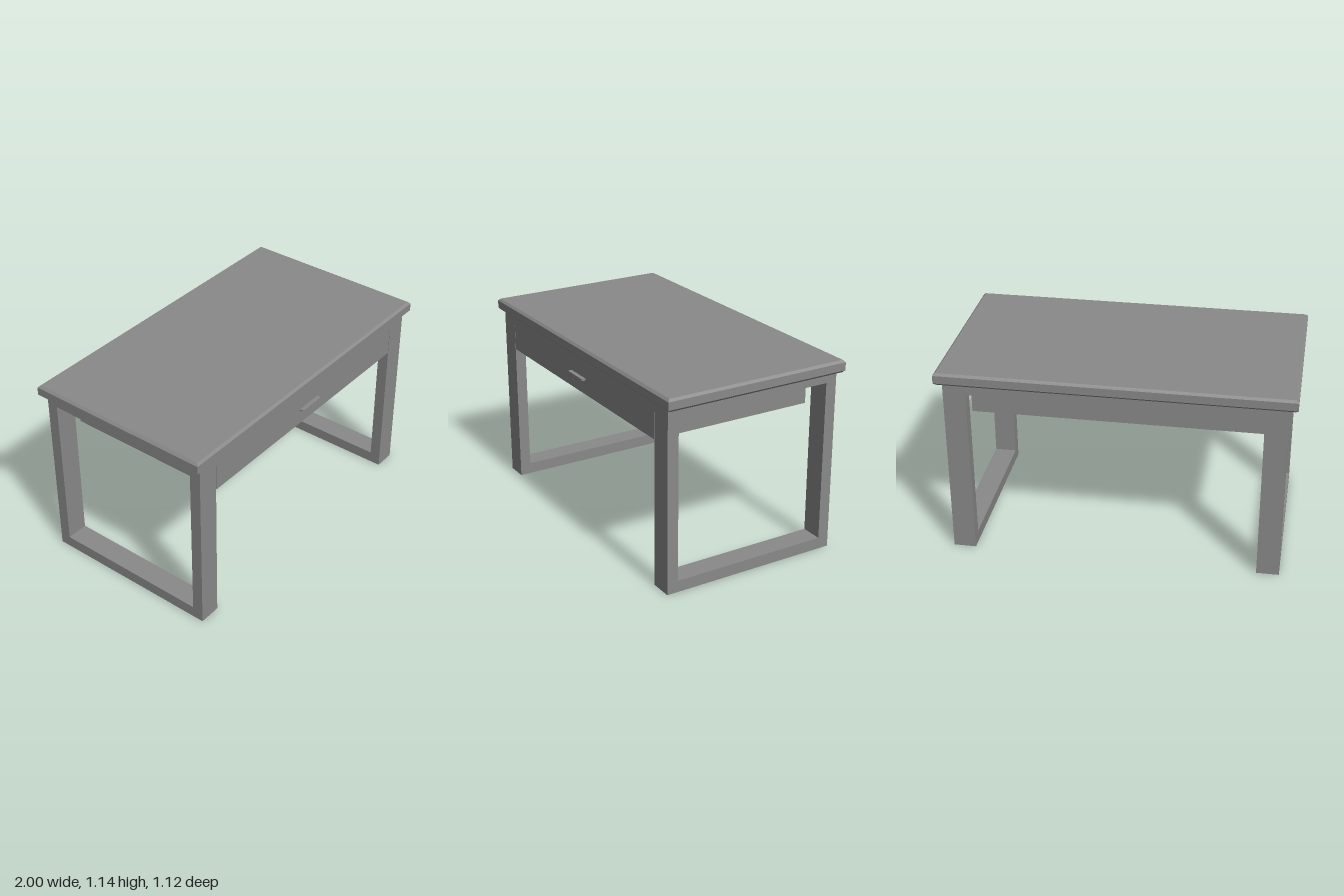
import * as THREE from 'three';

const material = new THREE.MeshStandardMaterial({ color: 0x898989 });

function part(name, geometry, parent, x = 0, y = 0, z = 0) {
  const mesh = new THREE.Mesh(geometry, material);
  mesh.name = name;
  mesh.position.set(x, y, z);
  parent.add(mesh);
  return mesh;
}

// Closed rectangle, used both as outline and as hole
function rectangle(PathType, x0, y0, x1, y1) {
  const path = new PathType();
  path.moveTo(x0, y0);
  path.lineTo(x1, y0);
  path.lineTo(x1, y1);
  path.lineTo(x0, y1);
  path.closePath();
  return path;
}

export function createModel() {
  const table = new THREE.Group();
  table.name = 'table';

  // Table top with chamfered edges above and below
  const chamfer = 0.013;
  const underside = 1.068;
  const halfX = 1 - chamfer;
  const halfZ = 0.562 - chamfer;
  const top = new THREE.ExtrudeGeometry(rectangle(THREE.Shape, -halfX, -halfZ, halfX, halfZ), {
    depth: 1.14 - underside - 2 * chamfer, bevelEnabled: true, bevelSegments: 1,
    bevelSize: chamfer, bevelThickness: chamfer,
  });
  top.rotateX(-Math.PI / 2);
  part('tableTop', top, table, 0, underside + chamfer, 0);

  // Closed rectangular leg frame on each side
  const legWidth = 0.13;
  const outline = rectangle(THREE.Shape, -0.538, 0, 0.538, underside);
  outline.holes.push(rectangle(THREE.Path, -0.472, 0.068, 0.472, 1.01));
  const frame = new THREE.ExtrudeGeometry(outline, { depth: legWidth, bevelEnabled: false });
  frame.translate(0, 0, -legWidth / 2).rotateY(Math.PI / 2);
  for (const [name, side] of [['leftLegFrame', 1], ['rightLegFrame', -1]]) {
    part(name, frame, table, side * 0.89, 0, 0);
  }

  // Support panel between the frames
  part('supportPanel', new THREE.BoxGeometry(1.65, 0.058, 1.076), table, 0, 1.039, 0);

  // Drawer, its front flush with the support panel
  const drawer = new THREE.Group();
  drawer.name = 'drawer';
  table.add(drawer);
  part('drawerFront', new THREE.BoxGeometry(1.643, 0.153, 0.064), drawer, 0, 0.9335, 0.506);
  part('drawerBox', new THREE.BoxGeometry(1.643, 0.151, 0.911), drawer, 0, 0.9325, 0.0185);

  // Flat handle plate with rounded front corners
  const w = 0.084, zBack = 0.535, zFront = 0.562, r = 0.014;
  const plate = new THREE.Shape();
  plate.moveTo(-w, -zBack);
  plate.lineTo(-w, -zFront + r);
  plate.quadraticCurveTo(-w, -zFront, -w + r, -zFront);
  plate.lineTo(w - r, -zFront);
  plate.quadraticCurveTo(w, -zFront, w, -zFront + r);
  plate.lineTo(w, -zBack);
  plate.closePath();
  const handle = new THREE.ExtrudeGeometry(plate, { depth: 0.011, bevelEnabled: false, curveSegments: 6 });
  handle.rotateX(-Math.PI / 2);
  part('drawerHandle', handle, drawer, 0, 0.943, 0);

  return table;
}
